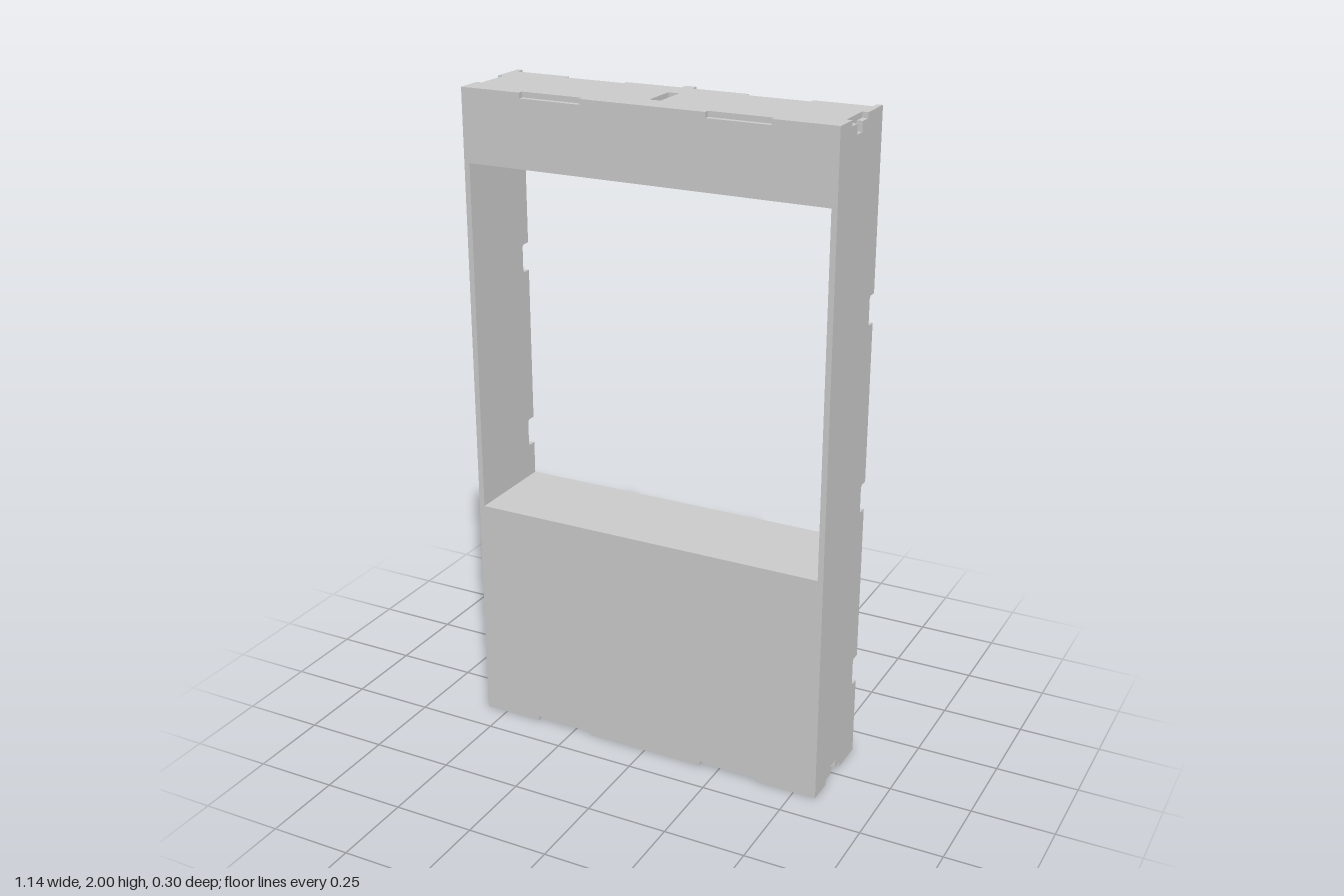
import * as THREE from 'three';

const material = new THREE.MeshStandardMaterial({ color: 0xcccccc, flatShading: true });
const H = 2, W = 0.57, F = 0.15, T = 0.016; // height, half width, half depth, board thickness
const RECESS = -0.122;                      // face of the recessed back boards
const INNER = W - 0.017, POST = 0.017, TAB = [0.19, 0.38];

// Stepped joint slot, as [z, distance from the end], from back to front
const SLOT = [[-0.043, 0], [-0.043, T], [-0.005, T], [-0.005, 0.045],
  [0.032, 0.045], [0.032, T], [0.07, T], [0.07, 0]];

// Extrude a [z, y] outline between two x positions
function slab(name, outline, x0, x1) {
  const shape = new THREE.Shape(outline.map(([z, y]) => new THREE.Vector2(z, y)));
  const geometry = new THREE.ExtrudeGeometry(shape, { depth: x1 - x0, bevelEnabled: false });
  geometry.rotateY(-Math.PI / 2);
  geometry.translate(x1, 0, 0);
  const mesh = new THREE.Mesh(geometry, material);
  mesh.name = name;
  return mesh;
}

// Full-height side board with slots at both ends and notches down the back edge
function sideOutline() {
  const points = [[-F, 0], ...SLOT, [F, 0], [F, H]];
  points.push(...SLOT.map(([z, y]) => [z, H - y]).reverse(), [-F, H]);
  const c = 0.006, d = -F + 0.032;
  for (const [top, bottom] of [[1.477, 1.39], [0.905, 0.818], [0.333, 0.246]]) {
    points.push([-F, top], [d - c, top], [d, top - c], [d, bottom + c], [d - c, bottom], [-F, bottom]);
  }
  return points;
}

// Sections of a block of height h, outer end at y = 0, with a ledge at its inner end
const ledge = (h) => [[F, h], [-F, h], [-F, h - T], [RECESS, h - T]];
const plain = (h) => [[F, 0], ...ledge(h), [RECESS, 0]];
const notched = (h) => [[F - 0.017, 0], [F - 0.017, T], [F, T], ...ledge(h),
  [RECESS, T], [RECESS + 0.017, T], [RECESS + 0.017, 0]];
const post = (h) => [[-F, 0], ...SLOT, [F, 0], [F, h], [-F, h]];

function block(name, h, flipped) {
  const group = new THREE.Group();
  group.name = name;
  const place = (outline) => (flipped ? outline.map(([z, y]) => [z, H - y]) : outline);
  group.add(slab('centrePost', place(post(h)), -POST, POST));
  const sections = [['innerPanel', plain, POST, TAB[0]], ['notchedPanel', notched, TAB[0], TAB[1]],
    ['outerPanel', plain, TAB[1], INNER]];
  for (const [part, section, a, b] of sections) {
    group.add(slab(part + 'Left', place(section(h)), a, b));
    group.add(slab(part + 'Right', place(section(h)), -b, -a));
  }
  return group;
}

export function createModel() {
  const model = new THREE.Group();
  model.name = 'windowWallFrame';
  // Side boards
  model.add(slab('leftSideBoard', sideOutline(), INNER, W));
  model.add(slab('rightSideBoard', sideOutline(), -W, -INNER));
  // Panelled blocks below and above the opening
  model.add(block('lowerWall', 0.715, false));
  model.add(block('upperHeader', 0.215, true));
  return model;
}
